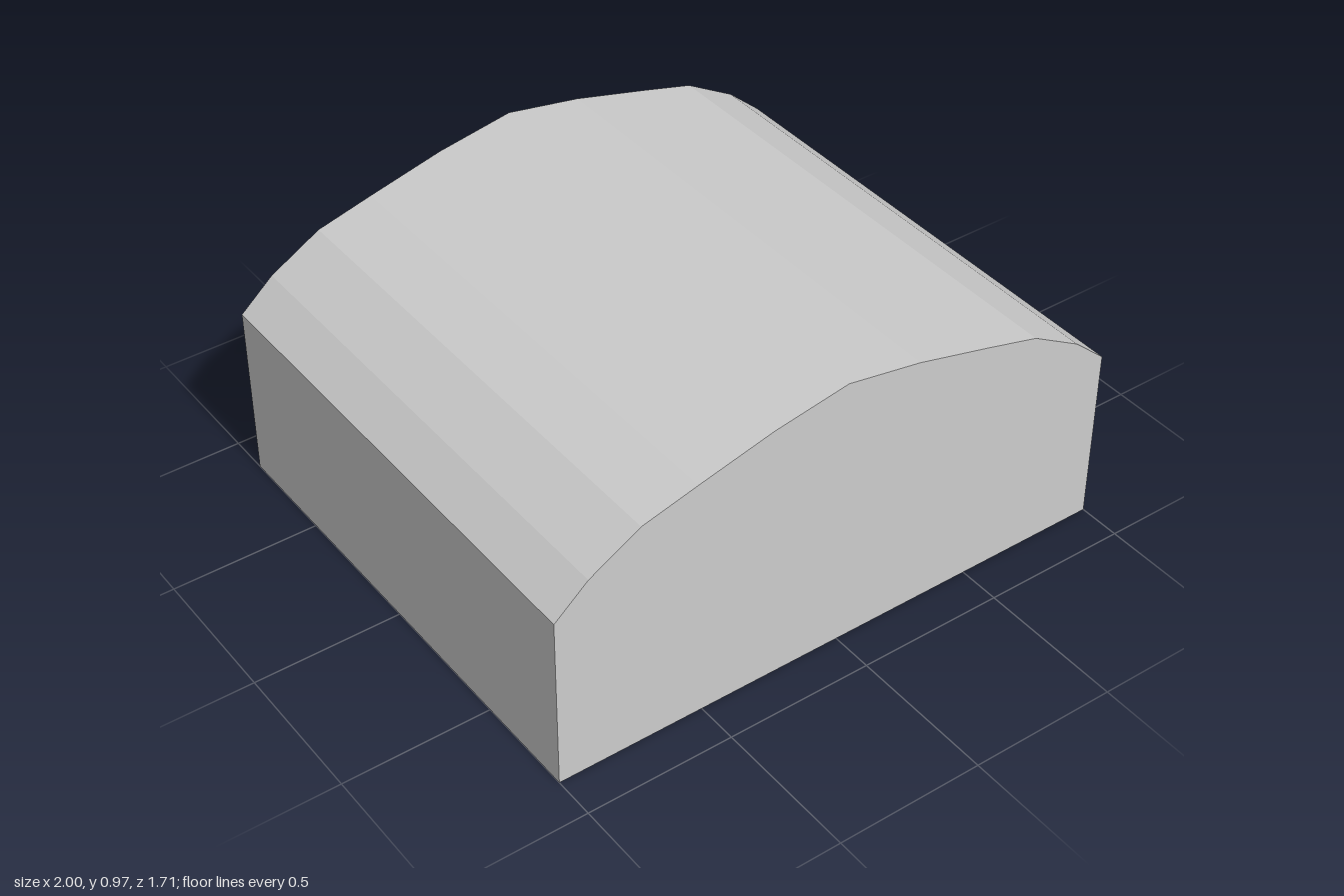
import * as THREE from 'three';

const HALF_DEPTH = 0.857;
const RECESS_Z = -0.457; // inner end of the recess that opens to the back

// Half of the curved roof line, from eave to ridge
const ROOF = [[1, 0.61], [0.885, 0.71], [0.71, 0.81], [0.52, 0.86], [0.26, 0.925], [0, 0.97]];
// Half of the recess opening, from floor to ridge
const OPENING = [[0.885, 0], [0.885, 0.557], [0.84, 0.56], [0, 0.828]];

// Mirrors a half line whose last point lies on x = 0
const mirrored = (half) => [...half, ...half.slice(0, -1).reverse().map(([x, y]) => [-x, y])];

function extrude(points, z0, z1) {
  const shape = new THREE.Shape(points.map(([x, y]) => new THREE.Vector2(x, y)));
  const geometry = new THREE.ExtrudeGeometry(shape, { depth: z1 - z0, bevelEnabled: false });
  return geometry.translate(0, 0, z0);
}

export function createModel() {
  const group = new THREE.Group();
  group.name = 'vaultedBlock';
  const material = new THREE.MeshStandardMaterial({ color: 0xcccccc, flatShading: true });
  const add = (name, geometry) => {
    const mesh = new THREE.Mesh(geometry, material);
    mesh.name = name;
    group.add(mesh);
  };

  const outline = [[1, 0], ...mirrored(ROOF), [-1, 0]];

  // Solid front body under the curved roof
  add('solidBody', extrude(outline, RECESS_Z, HALF_DEPTH));

  // Back shell: side walls and roof around the open recess
  const shell = extrude([...outline, ...mirrored(OPENING).reverse()], -HALF_DEPTH, RECESS_Z);

  // The recess ceiling drops and its eave ledge narrows towards the inner end
  const p = shell.attributes.position;
  const near = (a, b) => Math.abs(a - b) < 0.001;
  for (let i = 0; i < p.count; i++) {
    if (!near(p.getZ(i), RECESS_Z)) continue;
    const x = p.getX(i), y = p.getY(i);
    if (near(x, 0) && near(y, 0.828)) p.setY(i, 0.785);
    if (near(Math.abs(x), 0.84)) p.setXY(i, Math.sign(x) * 0.88, 0.547);
    if (near(y, 0.557)) p.setY(i, 0.545);
  }
  shell.computeVertexNormals();
  add('backShell', shell);

  return group;
}
